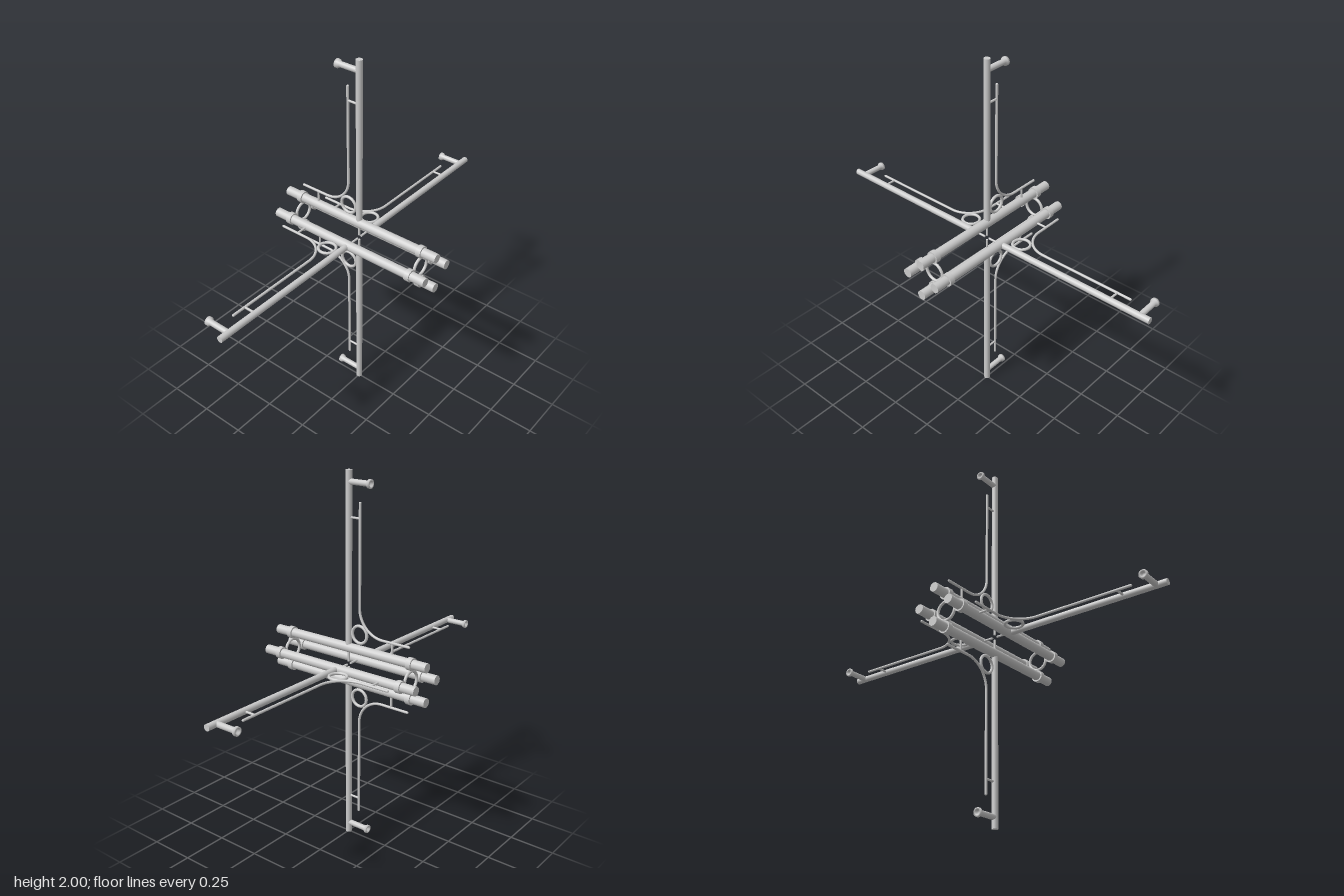
import * as THREE from 'three';

const material = new THREE.MeshStandardMaterial({ color: 0xcccccc, side: THREE.DoubleSide });

function addMesh(parent, name, geometry) {
  const mesh = new THREE.Mesh(geometry, material);
  mesh.name = name;
  parent.add(mesh);
  return mesh;
}

// Round bar between two points
function addBar(parent, name, from, to, radius, sides = 16) {
  const a = new THREE.Vector3(...from);
  const b = new THREE.Vector3(...to);
  const dir = b.clone().sub(a);
  const bar = addMesh(parent, name, new THREE.CylinderGeometry(radius, radius, dir.length(), sides));
  bar.position.copy(a).add(b).multiplyScalar(0.5);
  bar.quaternion.setFromUnitVectors(new THREE.Vector3(0, 1, 0), dir.normalize());
  return bar;
}

// Slim rail: straight along the arm, bending round to run along the body tube
function railGeometry() {
  const path = new THREE.CurvePath();
  const p = (y, z) => new THREE.Vector3(0, y, z);
  path.add(new THREE.LineCurve3(p(0.845, -0.07), p(0.315, -0.07)));
  path.add(new THREE.CubicBezierCurve3(p(0.315, -0.07), p(0.237, -0.07), p(0.174, -0.135), p(0.174, -0.215)));
  path.add(new THREE.LineCurve3(p(0.174, -0.215), p(0.174, -0.375)));
  return new THREE.TubeGeometry(path, 120, 0.007, 10, false);
}

// Peg with flared, recessed end; axis along local y
function pegGeometry() {
  const profile = [[0, 0], [0.015, 0], [0.015, 0.112], [0.023, 0.123], [0.023, 0.135], [0.014, 0.135], [0.012, 0.122], [0, 0.122]];
  const points = profile.map(([r, y]) => new THREE.Vector2(r, y));
  return new THREE.LatheGeometry(points, 16);
}

// One arm pointing up from the centre, with its body tube and fittings
function createArm() {
  const arm = new THREE.Group();
  arm.name = 'arm';
  const tubeY = 0.092;

  addBar(arm, 'pole', [0, tubeY, 0], [0, 1, 0], 0.017);
  addBar(arm, 'innerPin', [0, 0.014, 0], [0, tubeY, 0], 0.006, 10);
  addBar(arm, 'bodyTube', [0, tubeY, -0.486], [0, tubeY, 0.486], 0.025, 20);
  for (const z of [-0.39, 0.39]) {
    addBar(arm, 'clampCollar', [0, tubeY, z - 0.014], [0, tubeY, z + 0.014], 0.033, 16);
  }

  const peg = addMesh(arm, 'endPeg', pegGeometry());
  peg.position.y = 0.943;
  peg.rotation.x = -Math.PI / 2;

  addMesh(arm, 'rail', railGeometry());
  for (const [y, z] of [[0.845, -0.07], [0.174, -0.375]]) {
    addMesh(arm, 'railTip', new THREE.SphereGeometry(0.007, 10, 6)).position.set(0, y, z);
  }
  addBar(arm, 'outerRailSupport', [0, 0.77, 0], [0, 0.77, -0.07], 0.006, 10);
  addBar(arm, 'innerRailSupport', [0, tubeY, -0.275], [0, 0.174, -0.275], 0.006, 10);

  // Ring nested in the corner between pole and body tube
  const ring = addMesh(arm, 'cornerRing', new THREE.TorusGeometry(0.046, 0.008, 10, 32));
  ring.position.set(0, 0.175, -0.07);
  ring.rotation.y = Math.PI / 2;
  return arm;
}

export function createModel() {
  const model = new THREE.Group();
  model.name = 'crossFrame';
  const frame = new THREE.Group();
  frame.name = 'frame';
  frame.position.y = 1;
  model.add(frame);

  for (let i = 0; i < 4; i++) {
    const arm = createArm();
    arm.rotation.z = (i * Math.PI) / 2;
    frame.add(arm);
  }

  // Rings tying the four body tubes together at both ends
  for (const z of [-0.39, 0.39]) {
    addMesh(frame, 'tieRing', new THREE.TorusGeometry(0.053, 0.008, 10, 32)).position.z = z;
  }
  return model;
}
